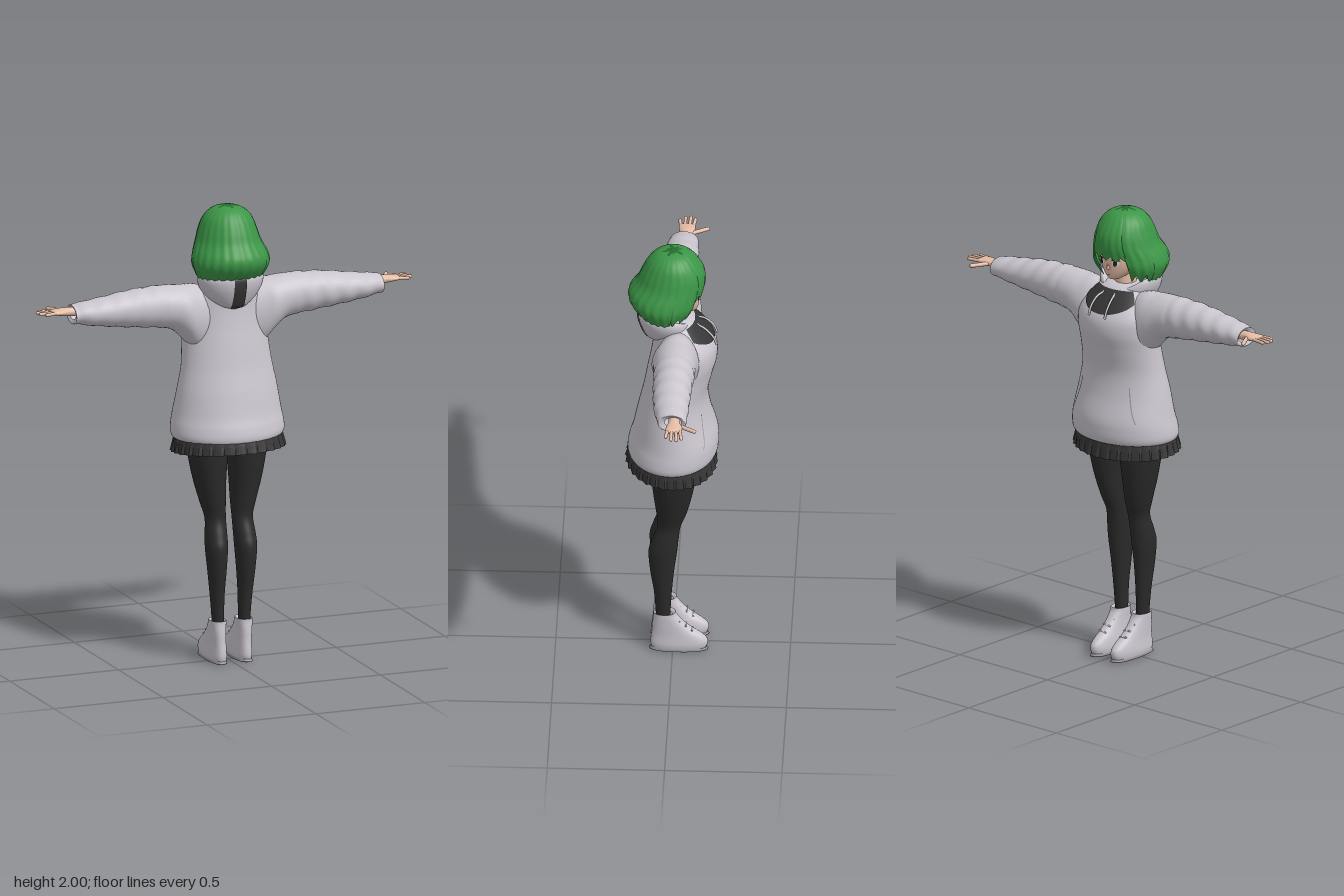
import * as THREE from 'three';
import { mergeVertices } from 'three/addons/utils/BufferGeometryUtils.js';

const paint = (name, color) => {
  const m = new THREE.MeshStandardMaterial({ color, side: THREE.DoubleSide });
  m.name = name;
  return m;
};

// Catmull-Rom through the columns of a row table, s in 0..1
function sample(rows, s) {
  const n = rows.length - 1, f = Math.min(Math.max(s, 0), 1) * n;
  const i = Math.min(Math.floor(f), n - 1), t = f - i;
  const at = (k) => rows[Math.min(Math.max(k, 0), n)];
  const [a, b, c, d] = [at(i - 1), at(i), at(i + 1), at(i + 2)];
  return b.map((_, k) => 0.5 * (2 * b[k] + (c[k] - a[k]) * t +
    (2 * a[k] - 5 * b[k] + 4 * c[k] - d[k]) * t * t + (3 * b[k] - a[k] - 3 * c[k] + d[k]) * t * t * t));
}

// Surface from a function fn(u, v) -> [x, y, z]
function grid(fn, nu, nv, { flip = false, flat = false } = {}) {
  const pos = [], idx = [];
  for (let j = 0; j <= nv; j++) for (let i = 0; i <= nu; i++) pos.push(...fn(i / nu, j / nv));
  for (let j = 0; j < nv; j++) for (let i = 0; i < nu; i++) {
    const a = j * (nu + 1) + i, b = a + 1, c = a + nu + 1, d = c + 1;
    idx.push(...(flip ? [a, b, c, b, d, c] : [a, c, b, b, c, d]));
  }
  let g = new THREE.BufferGeometry();
  g.setAttribute('position', new THREE.Float32BufferAttribute(pos, 3));
  g.setIndex(idx);
  g = flat ? g.toNonIndexed() : mergeVertices(g, 1e-5);
  g.computeVertexNormals();
  return g;
}

// Point on an upright form with rows [y, cx, rx, cz, rz]; angle 0 faces -z
function point(rows, a, s, off = 0, pow = 1) {
  const [y, cx, rx, cz, rz] = sample(rows, s);
  const p = (q) => Math.sign(q) * Math.abs(q) ** pow;
  return [cx + (Math.max(rx, 0) + off) * p(Math.sin(a)), y, cz - (Math.max(rz, 0) + off) * p(Math.cos(a))];
}
const angle = (u) => (u - 0.5) * 2 * Math.PI;
const upright = (rows, nu = 40, nv = 40, pow = 1) => grid((u, v) => point(rows, angle(u), v, 0, pow), nu, nv);

export function createModel() {
  const root = new THREE.Group();
  const mat = {
    hair: paint('hair green', 0x3c9647), crown: paint('dark green', 0x256a2e),
    cloth: paint('pale grey cloth', 0xcac5ce), tights: paint('black tights', 0x2a2a2a),
    skirt: paint('charcoal', 0x363636), skin: paint('skin', 0xe6bda6),
    sole: paint('sole grey', 0x9a979c), dark: paint('eye dark', 0x2b2024), white: paint('eye white', 0xf2f0f0),
  };
  const add = (name, geo, m) => {
    const mesh = new THREE.Mesh(geo, m);
    mesh.name = name;
    root.add(mesh);
    return mesh;
  };
  const rod = (name, a, b, r, m) => {
    const p = new THREE.Vector3(...a), q = new THREE.Vector3(...b), d = q.clone().sub(p);
    const mesh = add(name, new THREE.CapsuleGeometry(r, d.length(), 4, 10), m);
    mesh.position.copy(p).add(q).multiplyScalar(0.5);
    mesh.quaternion.setFromUnitVectors(new THREE.Vector3(0, 1, 0), d.normalize());
  };

  // Hoodie body
  const torso = [[0.995, 0, 0.2, 0.005, 0.15], [0.99, 0, 0.235, 0.003, 0.183], [1.01, 0, 0.25, 0.001, 0.193],
    [1.05, 0, 0.249, -0.004, 0.191], [1.1, 0, 0.24, -0.009, 0.181], [1.2, 0, 0.222, -0.005, 0.156],
    [1.3, 0, 0.202, -0.011, 0.139], [1.4, 0, 0.192, -0.03, 0.14], [1.48, 0, 0.19, -0.047, 0.142],
    [1.55, 0, 0.185, -0.047, 0.132], [1.62, 0, 0.15, -0.022, 0.102], [1.665, 0, 0.09, -0.005, 0.065], [1.67, 0, 0, 0, 0]];
  add('hoodieBody', upright(torso, 64, 72), mat.cloth);

  // Dark crescent on the upper chest
  add('chestPanel', grid((u, v) => {
    const a = (u - 0.5) * 2, s0 = 0.765 + 0.055 * a * a;
    return point(torso, a * 0.95, s0 + (0.89 - s0) * v, 0.005);
  }, 24, 12), mat.skirt);

  // Hood lying behind the neck, with a dark strip down its back
  const hood = [[1.56, 0, 0.02, 0.07, 0.02], [1.575, 0, 0.065, 0.055, 0.06], [1.61, 0, 0.11, 0.042, 0.09],
    [1.655, 0, 0.138, 0.035, 0.112], [1.695, 0, 0.145, 0.035, 0.115], [1.71, 0, 0.13, 0.032, 0.105],
    [1.69, 0, 0.1, 0.02, 0.085], [1.65, 0, 0.075, 0.01, 0.07]];
  const hoodPoint = (a, s, off = 0) => {
    const p = point(hood, a, s, off);
    p[1] -= 0.06 * Math.max(0, Math.cos(a)) ** 2;
    return p;
  };
  add('hood', grid((u, v) => hoodPoint(angle(u), v), 48, 32), mat.cloth);
  add('hoodStrip', grid((u, v) => {
    const s = 0.1 + 0.58 * v, half = Math.asin(Math.min(1, 0.027 / sample(hood, s)[2]));
    return hoodPoint(Math.PI + (u - 0.5) * 2 * half, s, 0.005);
  }, 6, 20), mat.skirt);

  // Pleated skirt and hips
  add('skirt', grid((u, v) => {
    const a = angle(u), pleat = ((u * 120) % 4) / 3, k = 1 - 0.045 * pleat * (1 - v);
    const y0 = 0.933 - 0.012 * Math.cos(a);
    return [(0.256 - 0.02 * v) * k * Math.sin(a), y0 + (1.01 - y0) * v, 0.008 - (0.198 - 0.02 * v) * k * Math.cos(a)];
  }, 120, 2, { flat: true }), mat.skirt);
  add('hips', upright([[0.925, 0, 0, 0, 0], [0.93, 0, 0.1, -0.005, 0.07], [0.96, 0, 0.17, -0.005, 0.1],
    [1.04, 0, 0.17, 0, 0.11]], 32, 12), mat.tights);

  // Sleeve section rows [x, cy, ry, cz, rz]
  const sleeve = [[0.08, 1.5, 0.14, -0.02, 0.08], [0.15, 1.515, 0.145, -0.02, 0.095], [0.2, 1.543, 0.119, -0.015, 0.1],
    [0.26, 1.57, 0.096, -0.015, 0.092], [0.35, 1.578, 0.088, -0.015, 0.086], [0.45, 1.581, 0.079, -0.012, 0.082],
    [0.55, 1.58, 0.065, -0.012, 0.077], [0.64, 1.58, 0.052, -0.015, 0.07], [0.69, 1.58, 0.043, -0.02, 0.061],
    [0.708, 1.58, 0.04, -0.02, 0.057], [0.7, 1.582, 0.025, -0.025, 0.035]];
  const palm = [[0.68, 1.588, 0.02, -0.03, 0.025], [0.72, 1.59, 0.019, -0.03, 0.024], [0.75, 1.592, 0.016, -0.031, 0.033],
    [0.78, 1.593, 0.012, -0.03, 0.035], [0.797, 1.593, 0.008, -0.03, 0.03], [0.8, 1.593, 0, -0.03, 0]];

  // Leg, shoe and sole rows [y, cx, rx, cz, rz]
  const leg = [[1.0, 0.09, 0.088, -0.005, 0.1], [0.9, 0.088, 0.083, -0.004, 0.096], [0.8, 0.082, 0.07, -0.001, 0.083],
    [0.7, 0.07, 0.055, 0.005, 0.065], [0.63, 0.062, 0.045, 0.015, 0.05], [0.56, 0.065, 0.047, 0.031, 0.056],
    [0.5, 0.067, 0.047, 0.042, 0.061], [0.4, 0.066, 0.039, 0.045, 0.051], [0.3, 0.064, 0.031, 0.042, 0.039],
    [0.2, 0.061, 0.026, 0.041, 0.032], [0.12, 0.06, 0.025, 0.041, 0.03]];
  const shoe = [[0.01, 0.058, 0.037, -0.025, 0.116], [0.03, 0.058, 0.04, -0.027, 0.122], [0.052, 0.058, 0.039, -0.026, 0.12],
    [0.075, 0.058, 0.037, -0.016, 0.107], [0.1, 0.059, 0.035, 0.001, 0.087], [0.135, 0.06, 0.034, 0.02, 0.066],
    [0.17, 0.06, 0.035, 0.032, 0.05], [0.187, 0.06, 0.034, 0.035, 0.046], [0.175, 0.06, 0.025, 0.038, 0.034]];
  const sole = [[0, 0.058, 0, -0.025, 0], [0, 0.058, 0.036, -0.025, 0.116], [0.009, 0.058, 0.039, -0.026, 0.121],
    [0.014, 0.058, 0.038, -0.026, 0.119]];

  for (const s of [1, -1]) {
    const side = s > 0 ? 'left' : 'right';
    const across = (rows, nv, ripple) => grid((u, v) => {
      const [x, cy, ry, cz, rz] = sample(rows, v), a = u * 2 * Math.PI;
      const k = 1 + (x > 0.3 ? ripple * Math.sin(75 * x + 2 * Math.cos(a)) : 0);
      return [s * x, cy + Math.max(ry, 0) * k * Math.cos(a), cz + Math.max(rz, 0) * k * Math.sin(a)];
    }, 32, nv, { flip: s > 0 });
    add(side + 'Sleeve', across(sleeve, 90, 0.025), mat.cloth);
    add(side + 'Palm', across(palm, 20, 0), mat.skin);

    // Fingers and thumb
    const tips = [[0.84, -0.064], [0.854, -0.044], [0.85, -0.021], [0.83, 0.002]];
    tips.forEach(([x, z], i) =>
      rod(side + 'Finger', [s * 0.775, 1.594, -0.056 + i * 0.017], [s * x, 1.593, z], 0.0075, mat.skin));
    rod(side + 'Thumb', [s * 0.735, 1.59, -0.045], [s * 0.777, 1.588, -0.118], 0.009, mat.skin);

    const mirror = (rows) => rows.map(([y, cx, ...r]) => [y, s * cx, ...r]);
    add(side + 'Leg', upright(mirror(leg), 32, 60), mat.tights);
    add(side + 'Shoe', upright(mirror(shoe), 36, 36, 0.85), mat.cloth);
    add(side + 'Sole', upright(mirror(sole), 36, 9, 0.85), mat.sole);
    for (let i = 0; i < 3; i++) {
      const y = 0.097 + i * 0.022, z = -0.083 + i * 0.027;
      rod(side + 'Lace', [s * 0.042, y, z], [s * 0.076, y + 0.004, z], 0.004, mat.cloth);
    }

    // Pocket slit and drawstring
    add(side + 'PocketSlit', grid((u, v) => point(torso, s * (0.66 + 0.16 * v * v) + (u - 0.5) * 0.025,
      0.455 - 0.13 * v, 0.003), 2, 12), mat.sole);
    const cord = [[0.03, 1.64, -0.1], [0.04, 1.625, -0.135], [0.045, 1.585, -0.172], [0.045, 1.55, -0.186]];
    const curve = new THREE.CatmullRomCurve3(cord.map(([x, y, z]) => new THREE.Vector3(s * x, y, z)));
    add(side + 'Drawstring', new THREE.TubeGeometry(curve, 12, 0.005, 8), mat.cloth);
  }

  // Head and neck
  const face = [[1.695, 0, 0, -0.07, 0], [1.7, 0, 0.024, -0.067, 0.03], [1.725, 0, 0.058, -0.046, 0.062],
    [1.76, 0, 0.086, -0.031, 0.081], [1.8, 0, 0.097, -0.02, 0.095], [1.86, 0, 0.1, -0.01, 0.1],
    [1.92, 0, 0.085, -0.005, 0.085], [1.95, 0, 0, 0, 0]];
  add('face', upright(face, 40, 32), mat.skin);
  add('neck', new THREE.CylinderGeometry(0.042, 0.048, 0.14, 24), mat.skin).position.set(0, 1.68, 0);
  const nose = add('nose', new THREE.ConeGeometry(0.009, 0.024, 8), mat.skin);
  nose.position.set(0, 1.762, -0.114);
  nose.rotation.x = -0.3;

  // Face details follow the face surface
  const spot = (name, a, s, da, ds, off, m) => add(name, grid((u, v) => {
    const w = u * 2 * Math.PI;
    return point(face, a + da * v * Math.cos(w), s + ds * v * Math.sin(w), off);
  }, 20, 3), m);
  for (const s of [1, -1]) {
    spot('eyeWhite', s * 0.42, 0.5, 0.19, 0.052, 0.002, mat.white);
    spot('iris', s * 0.4, 0.5, 0.1, 0.052, 0.004, mat.dark);
    spot('eyelash', s * 0.42, 0.553, 0.22, 0.012, 0.005, mat.dark);
  }
  spot('mouth', 0, 0.27, 0.16, 0.007, 0.002, mat.dark);

  // Bobbed hair: fringe over the face, pointed side locks, full back
  const hair = [[2.0, 0, 0, 0, 0], [1.985, 0, 0.062, 0, 0.064], [1.95, 0, 0.102, 0, 0.104], [1.9, 0, 0.123, 0, 0.132],
    [1.85, 0, 0.138, 0.008, 0.145], [1.8, 0, 0.16, 0.03, 0.157], [1.76, 0, 0.168, 0.036, 0.152],
    [1.72, 0, 0.155, 0.035, 0.128], [1.69, 0, 0.132, 0.03, 0.098], [1.72, 0, 0.08, 0.02, 0.07]];
  const hairEnd = (a) => {
    const b = Math.abs(a), jag = Math.abs(((b * 3.2) % 1) * 2 - 1);
    if (b < 0.62) return 0.53 + 0.055 * jag;
    return b < 1.35 ? 0.74 + 0.14 * jag : 1;
  };
  add('hair', grid((u, v) => {
    const a = angle(u), s = v * hairEnd(a);
    return point(hair, a, s, 0.003 * s * Math.cos(24 * a));
  }, 160, 48, { flip: true }), mat.hair);
  add('crownPatch', grid((u, v) => {
    const a = angle(u);
    return point(hair, a, v * (0.035 + 0.05 * Math.abs(Math.sin(2.5 * a) * Math.cos(4 * a + 1))), 0.002);
  }, 60, 4, { flip: true }), mat.crown);

  return root;
}
